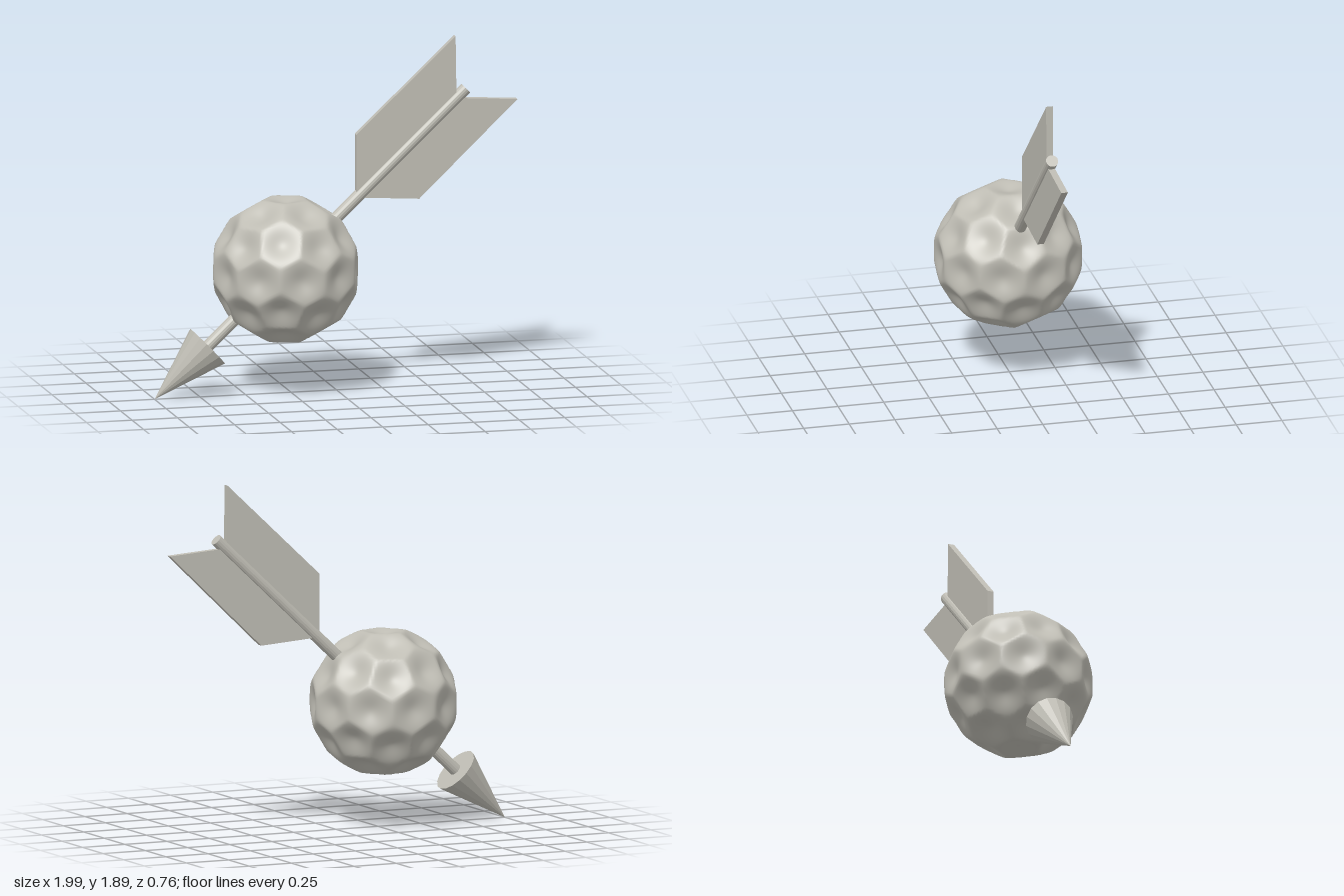
import * as THREE from 'three';
import { mergeVertices } from 'three/addons/utils/BufferGeometryUtils.js';

// Directions of the 42 dimples: corners and edge midpoints of an upright icosahedron
function dimpleDirections() {
  const corners = [new THREE.Vector3(0, 1, 0), new THREE.Vector3(0, -1, 0)];
  const lat = Math.atan(0.5);
  for (let i = 0; i < 10; i++) {
    const a = (i * Math.PI) / 5;
    const s = i % 2 ? -1 : 1;
    corners.push(new THREE.Vector3(Math.cos(lat) * Math.cos(a), s * Math.sin(lat), Math.cos(lat) * Math.sin(a)));
  }
  const all = [...corners];
  for (let i = 0; i < 12; i++)
    for (let j = i + 1; j < 12; j++)
      if (corners[i].distanceTo(corners[j]) < 1.1)
        all.push(corners[i].clone().add(corners[j]).normalize());
  return all;
}

// Sphere pushed inwards around each dimple direction
function dimpledBall(ridgeRadius, depth) {
  const geo = new THREE.IcosahedronGeometry(1, 32);
  geo.deleteAttribute('normal');
  geo.deleteAttribute('uv');
  const ball = mergeVertices(geo, 1e-5);
  const dirs = dimpleDirections();
  const pos = ball.attributes.position;
  const v = new THREE.Vector3();
  for (let i = 0; i < pos.count; i++) {
    v.fromBufferAttribute(pos, i).normalize();
    const nearest = Math.acos(Math.min(1, Math.max(...dirs.map((d) => d.dot(v)))));
    const t = THREE.MathUtils.smoothstep(nearest, 0, 0.365);
    v.multiplyScalar(ridgeRadius - depth * (1 - t));
    pos.setXYZ(i, v.x, v.y, v.z);
  }
  ball.computeVertexNormals();
  return ball;
}

function faceted(geo) {
  const flat = geo.toNonIndexed();
  flat.computeVertexNormals();
  return flat;
}

export function createModel() {
  const group = new THREE.Group();
  const stone = new THREE.MeshStandardMaterial({ color: 0xbfbdb4 });
  stone.name = 'warm grey';
  const add = (name, geo, parent = group) => {
    const mesh = new THREE.Mesh(geo, stone);
    mesh.name = name;
    parent.add(mesh);
    return mesh;
  };

  // Ball
  add('dimpledBall', dimpledBall(0.4, 0.042)).position.set(-0.28, 0.677, 0);

  // Arrow head and shaft, built along +y from the tip and then tilted
  const arrow = new THREE.Group();
  arrow.name = 'arrow';
  arrow.position.set(-1, 0.005, 0);
  arrow.rotation.z = -Math.atan2(1.71, 1.605);
  group.add(arrow);
  const head = faceted(new THREE.ConeGeometry(0.131, 0.4, 16));
  head.rotateZ(Math.PI).translate(0, 0.2, 0);
  add('arrowHead', head, arrow);
  const shaft = faceted(new THREE.CylinderGeometry(0.033, 0.033, 1.96, 16));
  shaft.translate(0, 1.365, 0);
  add('arrowShaft', shaft, arrow);

  // Two slanted feather vanes
  const vanes = {
    upperVane: [[0.105, 1.045], [0.655, 1.56], [0.65, 1.9], [0.105, 1.39]],
    lowerVane: [[0.12, 1.048], [0.45, 1.025], [0.99, 1.54], [0.66, 1.562]],
  };
  for (const [name, pts] of Object.entries(vanes)) {
    const shape = new THREE.Shape(pts.map(([x, y]) => new THREE.Vector2(x, y)));
    const geo = new THREE.ExtrudeGeometry(shape, { depth: 0.036, bevelEnabled: false });
    geo.translate(0, 0, -0.018);
    add(name, geo);
  }
  return group;
}
